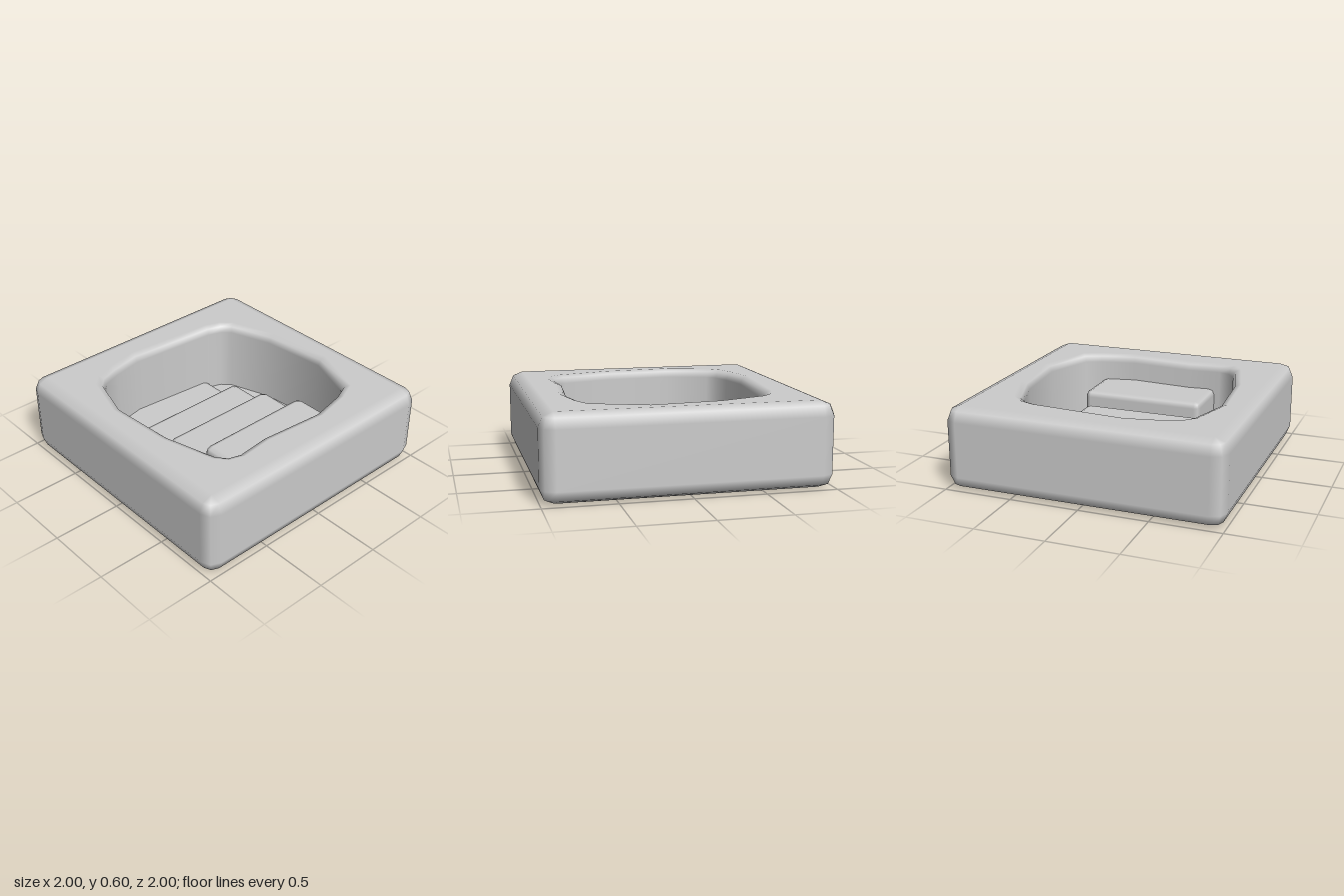
import * as THREE from 'three';
import { RoundedBoxGeometry } from 'three/addons/geometries/RoundedBoxGeometry.js';

const material = new THREE.MeshStandardMaterial({ color: 0xcccccc });
const HEIGHT = 0.6, FLOOR = 0.05, EDGE = 0.1, RIM = 0.06;

// Basin outline [x, z], counter-clockwise seen from above
const BASIN = [
  [0.24, -0.755], [-0.24, -0.71], [-0.56, -0.6], [-0.62, -0.54], [-0.655, -0.44],
  [-0.71, 0.23], [-0.665, 0.45], [-0.62, 0.58], [-0.56, 0.64], [-0.24, 0.735],
  [0.23, 0.7], [0.6, 0.6], [0.665, 0.55], [0.69, 0.47], [0.665, 0.23],
  [0.705, -0.24], [0.65, -0.5], [0.6, -0.62],
];

// Steps: x from, x to, z from, z to, top height
const STEPS = [
  [-0.8, -0.395, -0.435, 0.44, 0.11],
  [-0.395, -0.055, -0.485, 0.44, 0.2],
  [-0.055, 0.287, -0.475, 0.47, 0.3],
  [0.287, 0.8, -0.5, 0.43, 0.4],
];

// Adds averaged outward normals to an outline
function withNormals(points) {
  const n = points.length;
  const edgeNormal = (a, b) => new THREE.Vector2(a[1] - b[1], b[0] - a[0]).normalize();
  return points.map((p, i) => {
    const before = edgeNormal(points[(i + n - 1) % n], p);
    const normal = before.add(edgeNormal(p, points[(i + 1) % n])).normalize();
    return { x: p[0], z: p[1], nx: normal.x, nz: normal.y };
  });
}

// Skins a closed outline through levels of { offset, y, side, up }
function loft(outline, levels) {
  const position = [], normal = [], index = [], n = outline.length;
  levels.forEach((l, j) => outline.forEach((p, i) => {
    position.push(p.x + p.nx * l.offset, l.y, p.z + p.nz * l.offset);
    normal.push(p.nx * l.side, l.up, p.nz * l.side);
    if (j === levels.length - 1) return;
    const a = j * n + i, b = j * n + (i + 1) % n;
    index.push(a, b, b + n, a, b + n, a + n);
  }));
  const geometry = new THREE.BufferGeometry();
  geometry.setAttribute('position', new THREE.Float32BufferAttribute(position, 3));
  geometry.setAttribute('normal', new THREE.Float32BufferAttribute(normal, 3));
  geometry.setIndex(index);
  return geometry;
}

// Flat horizontal face from an [x, z] outline with an optional hole
function flatFace(points, y, hole) {
  const toVectors = list => list.map(([x, z]) => new THREE.Vector2(x, -z));
  const shape = new THREE.Shape(toVectors(points));
  if (hole) shape.holes.push(new THREE.Path(toVectors(hole)));
  return new THREE.ShapeGeometry(shape).rotateX(-Math.PI / 2).translate(0, y, 0);
}

export function createModel() {
  const model = new THREE.Group();
  model.name = 'steppedBasin';
  const add = (name, geometry, parent = model) => {
    const mesh = new THREE.Mesh(geometry, material);
    mesh.name = name;
    parent.add(mesh);
    return mesh;
  };
  const arc = [0, Math.PI / 4, Math.PI / 2];

  // Outer shell: square with rounded corners and edges
  const c = 1 - EDGE;
  const corners = [[c, -c], [-c, -c], [-c, c], [c, c]];
  const outer = corners.flatMap(([x, z], k) => arc.map(t => {
    const a = k * Math.PI / 2 + t;
    return { x, z, nx: Math.cos(a), nz: -Math.sin(a) };
  }));
  const edge = (t, sign) => ({
    offset: EDGE * Math.cos(t),
    y: HEIGHT / 2 + sign * (HEIGHT / 2 - EDGE + EDGE * Math.sin(t)),
    side: Math.cos(t), up: sign * Math.sin(t),
  });
  add('outerShell', loft(outer, [
    ...[...arc].reverse().map(t => edge(t, -1)), ...arc.map(t => edge(t, 1)),
  ]));
  add('underside', flatFace(corners, 0).rotateX(Math.PI));

  // Basin: rounded rim and upright wall
  const basin = withNormals(BASIN);
  const rim = [...arc].reverse().map(t => ({
    offset: RIM * (1 - Math.cos(t)), y: HEIGHT - RIM * (1 - Math.sin(t)),
    side: -Math.cos(t), up: Math.sin(t),
  }));
  add('basinWall', loft(basin, [...rim, { offset: 0, y: FLOOR, side: -1, up: 0 }]));
  add('basinFloor', flatFace(BASIN, FLOOR));
  add('topFace', flatFace(corners, HEIGHT,
    basin.map(p => [p.x + p.nx * RIM, p.z + p.nz * RIM])));

  // Stairs rising toward +x, outer ends set into the wall
  const stairs = new THREE.Group();
  stairs.name = 'stairs';
  model.add(stairs);
  STEPS.forEach(([x0, x1, z0, z1, top], i) => {
    const bottom = 0.01;
    const step = add(`step${i + 1}`,
      new RoundedBoxGeometry(x1 - x0, top - bottom, z1 - z0, 1, 0.045), stairs);
    step.position.set((x0 + x1) / 2, (top + bottom) / 2, (z0 + z1) / 2);
  });
  return model;
}
